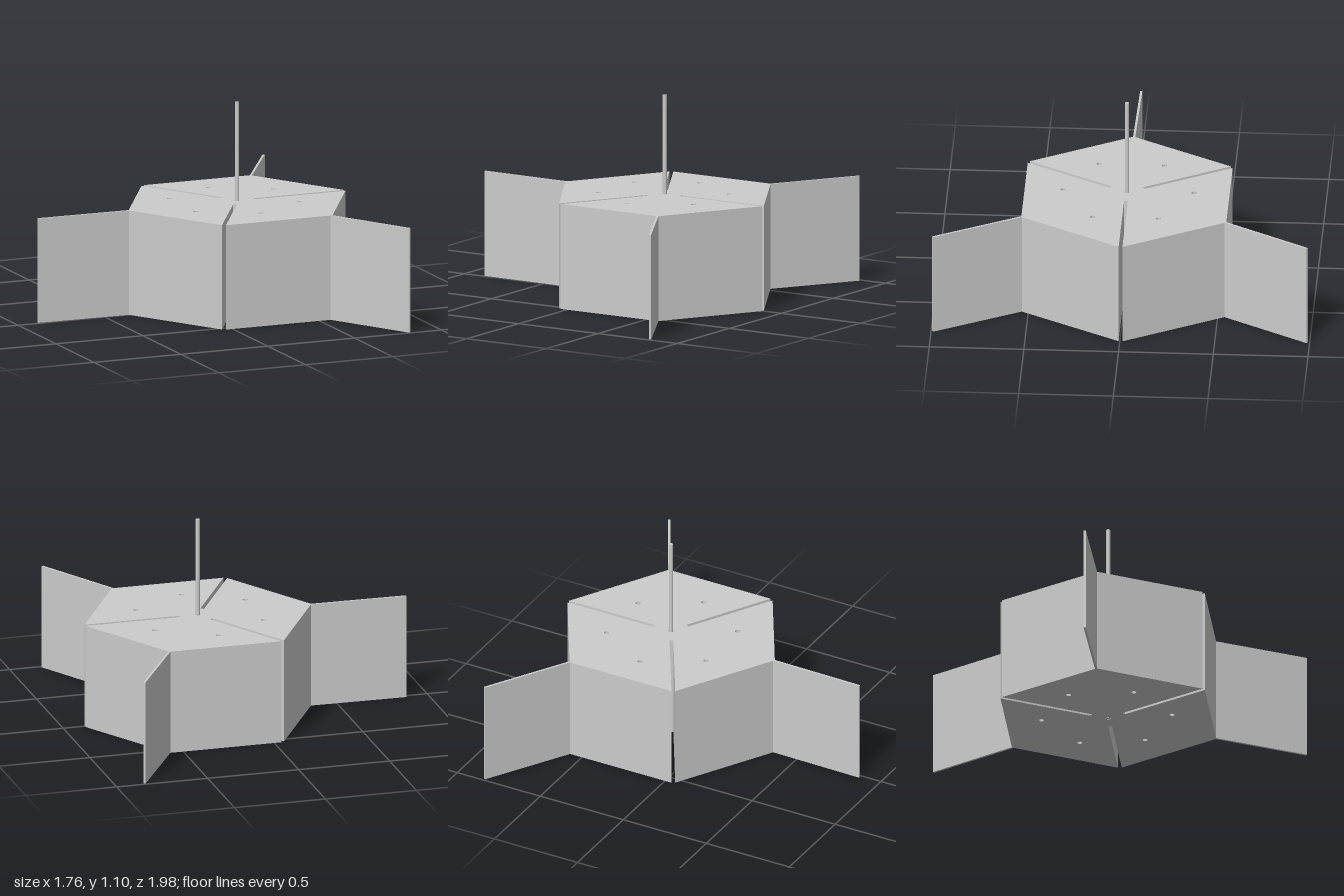
import * as THREE from 'three';

const HEIGHT = 0.563;      // height of the block and fins
const RADIUS = 0.625;      // hexagon corner radius
const SLOT_HALF = 0.01;    // half the slot width
const SLOT_START = 0.1;    // distance from the centre to the slot's inner end
const FIN_END = 1.142;     // distance from the centre to the fin's outer edge
const THIRD = (Math.PI * 2) / 3;

const material = new THREE.MeshStandardMaterial({ color: 0xcccccc });

function addMesh(parent, name, geometry) {
  const mesh = new THREE.Mesh(geometry, material);
  mesh.name = name;
  parent.add(mesh);
  return mesh;
}

function circlePath(x, y, radius) {
  const path = new THREE.Path();
  path.absarc(x, y, radius, 0, Math.PI * 2, true);
  return path;
}

// Hexagon with a slot cut inward from every second corner, plus drilled holes
function blockShape() {
  const tip = RADIUS - SLOT_HALF / Math.sqrt(3);
  const points = [];
  for (let k = 0; k < 3; k++) {
    const corner = [
      [tip, -SLOT_HALF], [SLOT_START, -SLOT_HALF],
      [SLOT_START, SLOT_HALF], [tip, SLOT_HALF],
    ];
    for (const [x, y] of corner) {
      points.push(new THREE.Vector2(x, y).rotateAround(new THREE.Vector2(), k * THIRD));
    }
    const a = (k + 0.5) * THIRD;
    points.push(new THREE.Vector2(RADIUS * Math.cos(a), RADIUS * Math.sin(a)));
  }
  const shape = new THREE.Shape(points);
  // Ring of six small holes, two in each segment
  for (let i = 0; i < 6; i++) {
    const a = (i + 0.5) * Math.PI / 3;
    shape.holes.push(circlePath(-0.01 + 0.346 * Math.cos(a), 0.008 + 0.346 * Math.sin(a), 0.014));
  }
  // Centre hole for the rod
  shape.holes.push(circlePath(0, 0, 0.014));
  return shape;
}

export function createModel() {
  const model = new THREE.Group();
  model.name = 'slottedHexagonWithFins';
  model.position.set(0.262, 0, -0.004);

  // Slotted hexagonal block
  const block = new THREE.ExtrudeGeometry(blockShape(), {
    depth: HEIGHT, bevelEnabled: false, curveSegments: 8,
  });
  block.rotateX(-Math.PI / 2);
  addMesh(model, 'hexagonBlock', block);

  // Thin fins reaching out from the corners without slots, each slightly skewed
  const start = RADIUS - 0.008;
  const finGeometry = new THREE.BoxGeometry(FIN_END - start, HEIGHT, 0.012);
  for (let k = 0; k < 3; k++) {
    const pivot = new THREE.Group();
    pivot.name = 'finPivot';
    pivot.rotation.y = (k + 0.5) * THIRD;
    const fin = addMesh(pivot, 'fin', finGeometry);
    fin.position.set((FIN_END + start) / 2, HEIGHT / 2, 0.0075);
    fin.rotation.y = -0.017;
    model.add(pivot);
  }

  // Upright rod through the centre
  const rod = addMesh(model, 'centreRod', new THREE.CylinderGeometry(0.011, 0.011, 1.095, 20));
  rod.position.y = 1.095 / 2;

  const root = new THREE.Group();
  root.add(model);
  return root;
}
